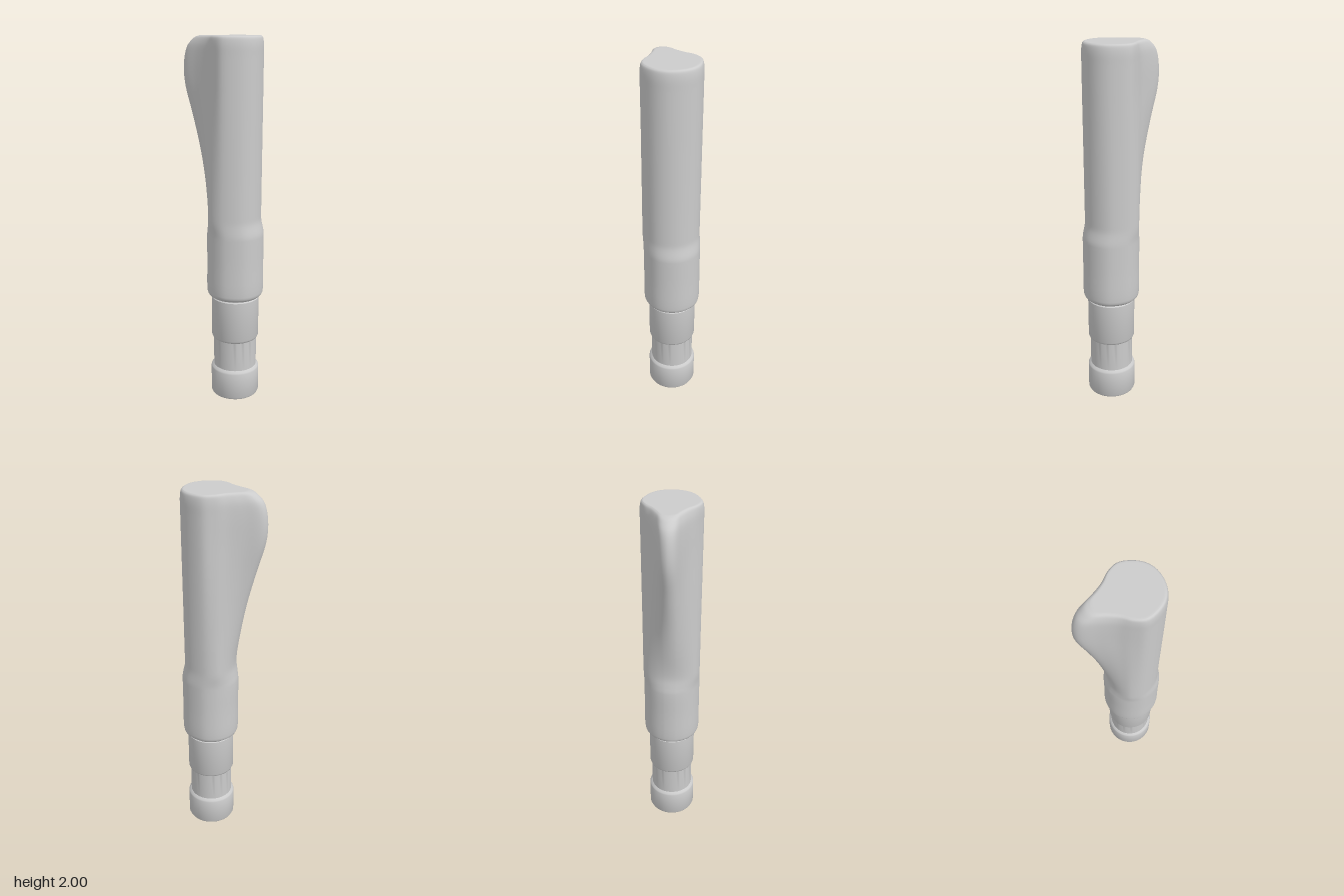
import * as THREE from 'three';
import { toCreasedNormals } from 'three/addons/utils/BufferGeometryUtils.js';

const SEGS = 80;
const V2 = (x, y) => new THREE.Vector2(x, y);

// Half outline of the finned handle: x, z, and the matching angle on a plain circle
const FIN = [
  [0.21, 0, 0], [0.195, 0.07, 27], [0.15, 0.122, 52], [0.06, 0.155, 88], [0, 0.132, 112],
  [-0.06, 0.095, 131], [-0.13, 0.065, 150], [-0.2, 0.04, 166], [-0.222, 0.022, 173], [-0.23, 0, 180],
];

// Height profile: left edge, height, half depth
const ROWS = [
  [-0.065, 0.6, 0.138], [-0.08, 0.612, 0.15], [-0.085, 0.63, 0.155], [-0.085, 0.8, 0.155],
  [-0.085, 0.95, 0.155], [-0.079, 0.99, 0.155], [-0.072, 1.04, 0.155], [-0.075, 1.1, 0.155],
  [-0.09, 1.2, 0.155], [-0.128, 1.4, 0.155], [-0.18, 1.6, 0.155], [-0.22, 1.74, 0.155],
  [-0.229, 1.82, 0.155], [-0.222, 1.9, 0.155], [-0.204, 1.95, 0.155], [-0.175, 1.98, 0.152],
  [-0.155, 1.993, 0.148], [-0.13, 2, 0.14],
];

// One closed cross-section, blending from circle to fin, scaled by k about its axis
function section(left, y, r, k = 1) {
  const cx = 0.07 - 0.017 * THREE.MathUtils.smoothstep(y, 0.95, 1.05);
  const t = y < 1.04 ? 0 : y > 1.82 ? 1 : THREE.MathUtils.clamp((-left - 0.072) / 0.157, 0, 1);
  const half = FIN.map(([x, z, deg]) => {
    const a = THREE.MathUtils.degToRad(deg);
    return [
      THREE.MathUtils.lerp(cx + r * Math.cos(a), cx + (x - 0.055) * r / 0.155, t),
      THREE.MathUtils.lerp(r * Math.sin(a), z * r / 0.155, t),
    ];
  });
  // pull the narrow side to the required edge
  const min = half[half.length - 1][0];
  for (const p of half) if (p[0] < 0) p[0] *= left / min;
  const loop = [...half, ...half.slice(1, -1).reverse().map(([x, z]) => [x, -z])];
  const curve = new THREE.CatmullRomCurve3(
    loop.map(([x, z]) => new THREE.Vector3(cx + (x - cx) * k, y, z * k)), true);
  return Array.from({ length: SEGS }, (_, i) => curve.getPoint(i / SEGS));
}

// Skin a stack of closed rings
function loft(rings) {
  const pos = rings.flat().flatMap((p) => [p.x, p.y, p.z]);
  const index = [];
  for (let j = 0; j < rings.length - 1; j++) {
    for (let i = 0; i < SEGS; i++) {
      const n = (i + 1) % SEGS;
      const a = j * SEGS + i, b = j * SEGS + n, c = a + SEGS, d = b + SEGS;
      index.push(a, c, b, b, c, d);
    }
  }
  const geo = new THREE.BufferGeometry();
  geo.setAttribute('position', new THREE.Float32BufferAttribute(pos, 3));
  geo.setIndex(index);
  geo.computeVertexNormals();
  return geo;
}

export function createModel() {
  const group = new THREE.Group();
  const material = new THREE.MeshStandardMaterial({ color: 0xcccccc });
  const add = (name, geo, x = 0) => {
    const mesh = new THREE.Mesh(geo, material);
    mesh.name = name;
    mesh.position.x = x;
    group.add(mesh);
  };

  // Handle: round collar below, thumb fin above
  const path = new THREE.CatmullRomCurve3(ROWS.map((r) => new THREE.Vector3(...r)));
  const steps = (ROWS.length - 1) * 4;
  const rings = Array.from({ length: steps + 1 }, (_, i) => {
    const p = path.getPoint(i / steps);
    return section(p.x, Math.min(p.y, 2), p.z);
  });
  const [first, last] = [ROWS[0], ROWS[ROWS.length - 1]];
  add('handle', loft([
    section(...first, 0.001), section(...first, 0.92),
    ...rings,
    section(...last, 0.94), section(...last, 0.001),
  ]));

  // Stepped shaft with a groove and a wider foot
  const shaft = [
    V2(0, 0), V2(0.122, 0), V2(0.13, 0.004), V2(0.135, 0.014), V2(0.135, 0.158), V2(0.132, 0.166),
    V2(0.12, 0.176), V2(0.12, 0.345), V2(0.127, 0.35), V2(0.131, 0.36), V2(0.131, 0.588),
    V2(0.125, 0.594), V2(0.125, 0.61),
  ];
  add('shaft', toCreasedNormals(new THREE.LatheGeometry(shaft, 64), 0.6), 0.071);

  return group;
}
